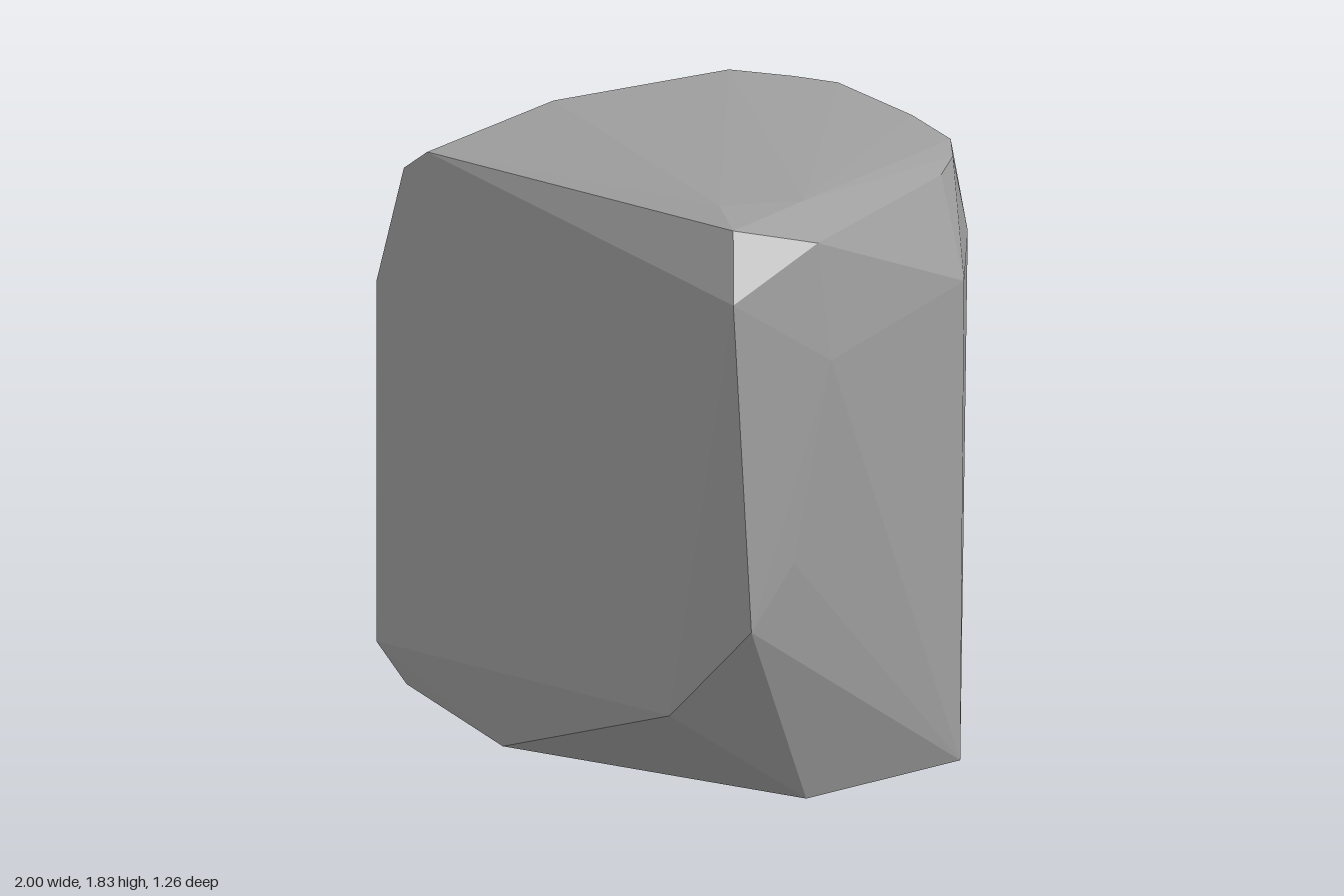
import * as THREE from 'three';
import { ConvexGeometry } from 'three/addons/geometries/ConvexGeometry.js';

// Corners of the boulder, grouped by region, as [x, y, z]
const frontFace = [
  [-0.7, 1.21, 0.63], [-0.7, 0.17, 0.63], [0.68, 0.38, 0.63],
  [0.98, 1.66, 0.63], [-0.46, 1.66, 0.63], [-0.57, 1.58, 0.63],
];
const crown = [
  [0.88, 1.83, 0.56], [0.7, 1.83, 0.48], [0.8, 1.83, 0.27], [0.98, 1.78, 0.35],
  [0.55, 1.69, -0.36], [0.45, 1.69, -0.47], [0.34, 1.69, -0.54], [0.13, 1.69, -0.56],
  [-0.19, 1.69, -0.54], [-0.3, 1.69, -0.47], [-0.42, 1.7, -0.34], [-0.52, 1.69, 0.17],
];
const backShoulder = [
  [0.73, 1.45, -0.31], [0.42, 1.45, -0.54], [0.25, 1.45, -0.61], [0.11, 1.45, -0.63],
  [-0.15, 1.43, -0.6], [0.25, 1.23, -0.61], [0.14, 1.18, -0.63], [0.03, 1.19, -0.63],
];
const rightSide = [
  [1, 1.44, 0.32], [0.98, 0.87, 0.43], [0.98, 0.7, 0.57],
];
const leftShoulder = [
  [-0.67, 1.0, -0.41], [-0.81, 1.0, -0.3], [-0.91, 1.11, -0.14],
  [-1, 1.14, 0.2], [-0.97, 1.17, 0.35],
];
const base = [
  [0.74, 0.07, 0.22], [0.74, 0.07, -0.29], [0.5, 0, -0.33], [0.48, 0, 0.17],
  [-0.19, 0.01, 0.57], [-0.6, 0.07, 0.6], [-0.95, 0.02, 0.35], [-1, 0.05, 0.2],
  [-0.91, 0.03, -0.14], [-0.81, 0.01, -0.28], [-0.7, 0.01, -0.37],
  [-0.6, 0.01, -0.43], [-0.43, 0.01, -0.45],
];

export function createModel() {
  const stone = new THREE.MeshStandardMaterial({ color: 0xa0a0a0 });
  stone.name = 'stone grey';
  stone.flatShading = true;

  // One faceted shell wrapped around all the corners
  const corners = [frontFace, crown, backShoulder, rightSide, leftShoulder, base]
    .flat()
    .map(([x, y, z]) => new THREE.Vector3(x, y, z));
  const boulder = new THREE.Mesh(new ConvexGeometry(corners), stone);
  boulder.name = 'boulder';

  const group = new THREE.Group();
  group.name = 'rock';
  group.add(boulder);
  return group;
}
